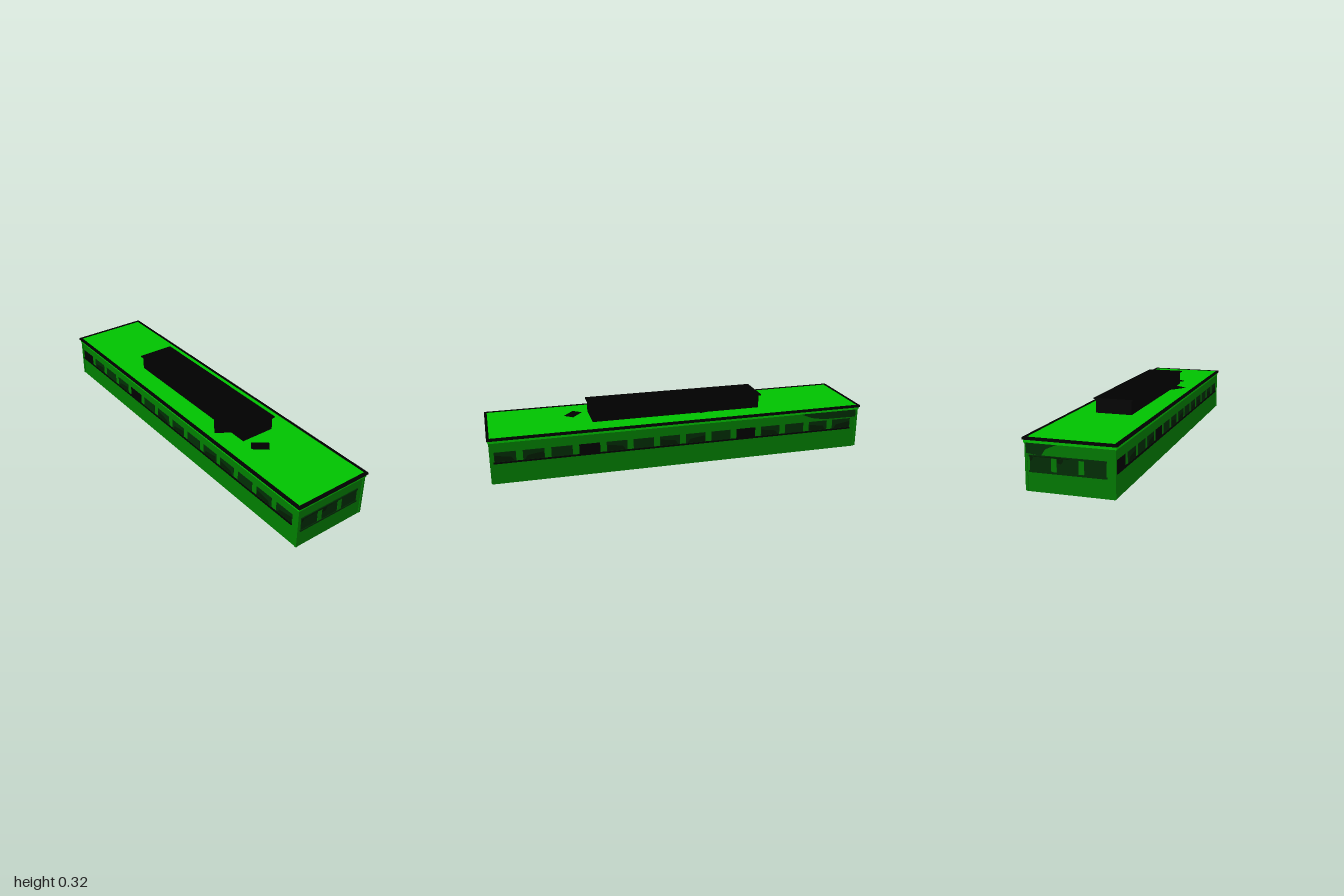
import * as THREE from 'three';

const mat = (name, color, side = THREE.FrontSide) => {
  const m = new THREE.MeshStandardMaterial({ color, side });
  m.name = name;
  return m;
};

export function createModel() {
  const wallGreen = mat('wall green', 0x007d00, THREE.DoubleSide);
  const roofGreen = mat('roof green', 0x00c200);
  const glass = mat('dark green glass', 0x002d04, THREE.DoubleSide);
  const grime = mat('deep green grime', 0x001c00, THREE.DoubleSide);
  const black = mat('black', 0x000000, THREE.DoubleSide);

  const model = new THREE.Group();
  model.name = 'longBuilding';

  const add = (parent, name, geometry, material, x = 0, y = 0, z = 0) => {
    const mesh = new THREE.Mesh(geometry, material);
    mesh.name = name;
    mesh.position.set(x, y, z);
    parent.add(mesh);
    return mesh;
  };
  // Box given by its extents in x and y, with its depth centred on z
  const slab = (parent, name, material, x0, x1, y0, y1, depth, z = 0) =>
    add(parent, name, new THREE.BoxGeometry(x1 - x0, y1 - y0, depth), material,
      (x0 + x1) / 2, (y0 + y1) / 2, z);
  // Thin plate standing on the outer face of a wall
  const plate = (wall, name, material, x0, x1, y0, y1, depth) =>
    slab(wall, name, material, x0, x1, y0, y1, depth, depth / 2 + 0.0005);
  // Flat polygon
  const patch = (parent, name, material, points, z = 0) => {
    const shape = new THREE.Shape(points.map(([x, y]) => new THREE.Vector2(x, y)));
    return add(parent, name, new THREE.ShapeGeometry(shape), material, 0, 0, z);
  };

  const HX = 0.202, HZ = 0.987, WALL_TOP = 0.22;

  // Each wall is built in its own frame: x along the wall, y up, z outward
  const makeWall = (name, angle, halfWidth, distance) => {
    const g = new THREE.Group();
    g.name = name;
    g.rotation.y = angle;
    g.position.set(Math.sin(angle) * distance, 0, Math.cos(angle) * distance);
    add(g, 'wallPanel', new THREE.PlaneGeometry(halfWidth * 2, WALL_TOP), wallGreen, 0, WALL_TOP / 2);
    model.add(g);
    return g;
  };

  // End walls: one wide window band with two posts
  const endWalls = [0, Math.PI].map((angle, i) => {
    const g = makeWall(i ? 'backWall' : 'frontWall', angle, HX, HZ);
    plate(g, 'windowBand', glass, -0.185, 0.164, 0.095, 0.16, 0.002);
    for (const y of [0.088, 0.157]) plate(g, 'windowFrame', glass, -0.188, 0.167, y, y + 0.008, 0.005);
    for (const x of [-0.085, 0.04]) plate(g, 'windowPost', wallGreen, x, x + 0.025, 0.097, 0.157, 0.004);
    patch(g, 'windowGrime', grime, [[-0.184, 0.157], [-0.184, 0.135], [-0.172, 0.145], [-0.168, 0.157]], 0.0035);
    patch(g, 'windowGrime', grime, [[-0.06, 0.157], [-0.058, 0.138], [-0.04, 0.134], [-0.029, 0.148], [-0.03, 0.157]], 0.0035);
    patch(g, 'frameGrime', grime, [[-0.186, 0.158], [0, 0.158], [0, 0.161], [-0.08, 0.164], [-0.13, 0.161], [-0.186, 0.162]], 0.0065);
    return g;
  });

  // Side walls: fourteen windows above a long sill
  const sideWalls = [1, -1].map((s) => {
    const g = makeWall(s > 0 ? 'leftWall' : 'rightWall', s * Math.PI / 2, HZ, HX);
    const blackPanes = s > 0 ? [3, 9] : [0, 4];
    plate(g, 'windowSill', black, -0.975, 0.95, 0.108, 0.116, 0.005);
    for (let i = 0; i < 14; i++) {
      const x = -0.917 + i * 0.1395;
      const dark = blackPanes.includes(i);
      plate(g, 'window', dark ? black : glass, x - 0.053, x + 0.053, 0.116, 0.168, 0.002);
      if (!dark && i % 3 !== 2) {
        const f = i % 2 ? -1 : 1;
        patch(g, 'windowGrime', grime,
          [[x - 0.05 * f, 0.118], [x + 0.045 * f, 0.118], [x + 0.03 * f, 0.14], [x - 0.05 * f, 0.152]], 0.0035);
      }
    }
    return g;
  });

  // Grime under the eave, meeting at one corner
  patch(sideWalls[0], 'wallGrime', glass, [[0.655, 0.217], [0.72, 0.19], [0.79, 0.177], [0.985, 0.175], [0.985, 0.217]], 0.003);
  patch(endWalls[1], 'wallGrime', glass, [[-0.2, 0.217], [-0.2, 0.172], [-0.13, 0.165], [-0.11, 0.195], [-0.06, 0.217]], 0.006);

  // Corner posts
  for (const sx of [-1, 1]) for (const sz of [-1, 1])
    add(model, 'cornerPost', new THREE.BoxGeometry(0.011, 0.214, 0.011), wallGreen, sx * 0.2015, 0.111, sz * 0.9865);

  // Roof slab with its eave, also the ceiling of the hollow body, and a black rim round the edge
  slab(model, 'eave', roofGreen, -0.21, 0.21, 0.218, 0.232, 1.99);
  slab(model, 'roofDeck', roofGreen, -0.204, 0.204, 0.232, 0.24, 1.978);
  for (const s of [-1, 1]) {
    slab(model, 'roofRimSide', black, s * 0.208 - 0.007, s * 0.208 + 0.007, 0.231, 0.242, 2);
    slab(model, 'roofRimEnd', black, -0.201, 0.201, 0.231, 0.242, 0.014, s * 0.993);
  }

  // Raised roof box with an overhanging cap
  slab(model, 'roofBox', black, -0.092, 0.092, 0.24, 0.31, 0.91, 0.007);
  slab(model, 'roofBoxCap', black, -0.1, 0.1, 0.31, 0.316, 0.93, 0.006);

  // Dark patches lying on the roof, drawn as x and z
  const roofPatches = [
    [[-0.07, 0.495], [0, 0.55], [-0.035, 0.595], [-0.105, 0.54]],
    [[-0.165, 0.325], [-0.09, 0.375], [-0.09, 0.225], [-0.105, 0.24]],
    [[0.09, -0.15], [0.102, -0.145], [0.11, -0.112], [0.09, -0.115]],
  ];
  for (const points of roofPatches) {
    const p = patch(model, 'roofPatch', black, points);
    p.rotation.x = Math.PI / 2;
    p.position.y = 0.243;
  }

  return model;
}
